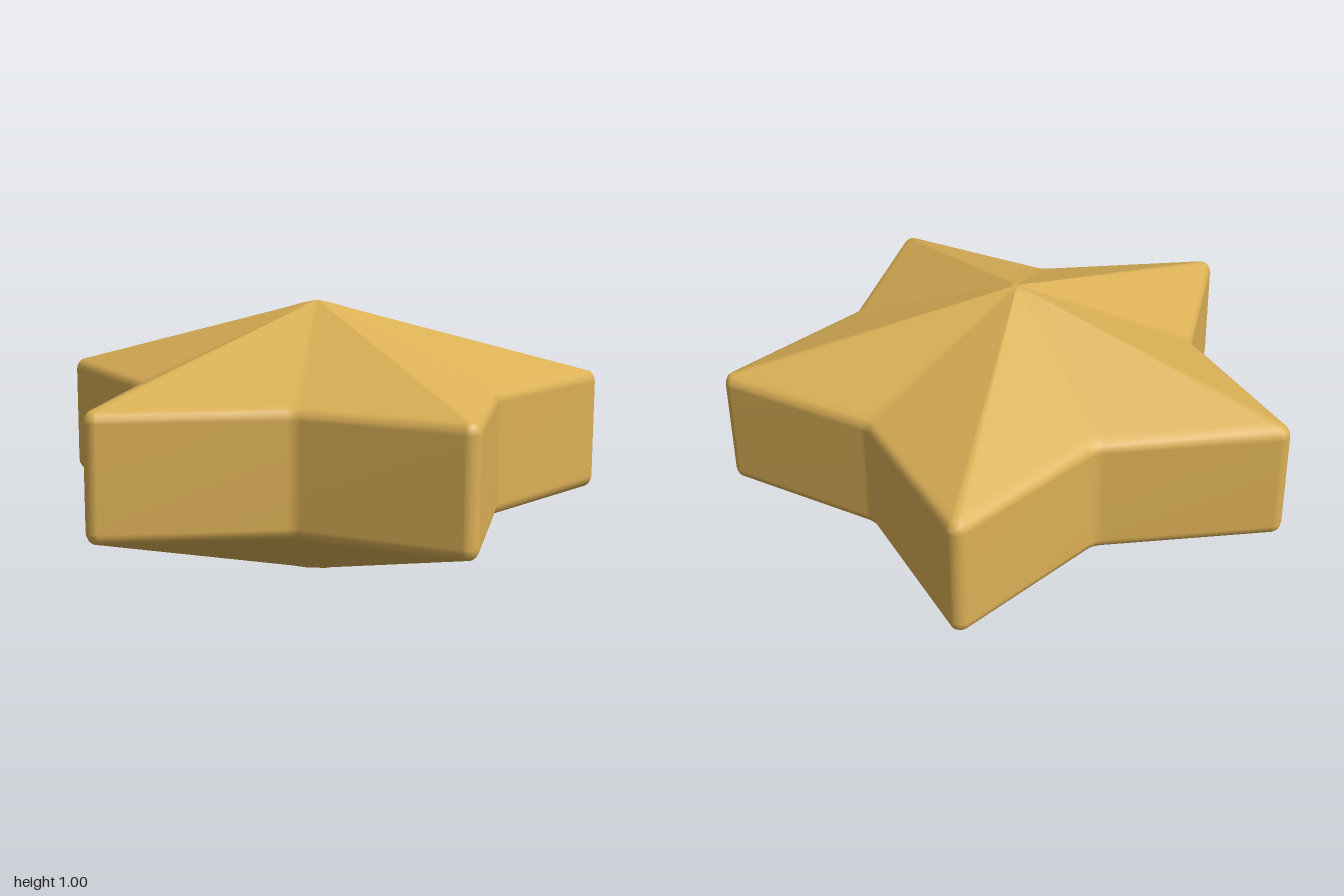
import * as THREE from 'three';

const CENTRE_X = 0.1;

// Rounded five-point star outline: points in the xz plane with outward normals
function starOutline() {
  const corners = [];
  for (let i = 0; i < 10; i++) {
    const tip = i % 2 === 1;
    const a = (i * Math.PI) / 5;
    const r = tip ? 1.08 : 0.675;
    const cx = tip ? CENTRE_X : 0.13;
    corners.push({ tip, p: new THREE.Vector2(cx + r * Math.cos(a), r * Math.sin(a)) });
  }
  const outline = [];
  corners.forEach(({ tip, p }, i) => {
    const toPrev = corners[(i + 9) % 10].p.clone().sub(p).normalize();
    const toNext = corners[(i + 1) % 10].p.clone().sub(p).normalize();
    const radius = tip ? 0.04 : 0.08;
    const half = Math.acos(toPrev.dot(toNext)) / 2;
    const centre = toPrev.clone().add(toNext).setLength(radius / Math.sin(half)).add(p);
    const n0 = new THREE.Vector2(-toPrev.y, toPrev.x);
    const n1 = new THREE.Vector2(toNext.y, -toNext.x);
    const steps = tip ? 8 : 5;
    for (let k = 0; k <= steps; k++) {
      const n = n0.clone().lerp(n1, k / steps).normalize();
      outline.push({ n, p: centre.clone().addScaledVector(n, tip ? radius : -radius) });
    }
  });
  return outline;
}

function starGeometry() {
  const outline = starOutline();
  const count = outline.length;

  // Layers from the wall up to the peak: inset of the edge, scale towards the centre, height
  const upper = [
    [0, 1, 0.68],
    [0.002, 1, 0.693],
    [0.009, 1, 0.708],
    [0.02, 1, 0.718],
    [0.02, 0.96, 0.7295],
    [0.02, 0.12, 0.968],
    [0.02, 0.05, 0.99],
  ];
  const lower = upper.map(([d, s, y]) => [d, s, 1 - y]).reverse();
  const layers = [...lower, ...upper];

  const positions = [];
  for (const [inset, scale, y] of layers) {
    for (const { p, n } of outline) {
      const q = p.clone().addScaledVector(n, -inset);
      positions.push(CENTRE_X + (q.x - CENTRE_X) * scale, y, q.y * scale);
    }
  }
  const bottom = positions.length / 3;
  const top = bottom + 1;
  positions.push(CENTRE_X, 0, 0, CENTRE_X, 1, 0);

  const index = [];
  const last = (layers.length - 1) * count;
  for (let i = 0; i < count; i++) {
    const j = (i + 1) % count;
    for (let l = 0; l < layers.length - 1; l++) {
      const a = l * count + i, b = l * count + j;
      index.push(a, a + count, b, b, a + count, b + count);
    }
    index.push(bottom, i, j, top, last + j, last + i);
  }

  const geometry = new THREE.BufferGeometry();
  geometry.setAttribute('position', new THREE.Float32BufferAttribute(positions, 3));
  geometry.setIndex(index);
  geometry.computeVertexNormals();
  return geometry;
}

export function createModel() {
  const gold = new THREE.MeshStandardMaterial({ color: 0xdbb056 });
  gold.name = 'gold';

  const group = new THREE.Group();
  group.name = 'star';
  const body = new THREE.Mesh(starGeometry(), gold);
  body.name = 'starBody';
  group.add(body);
  return group;
}
